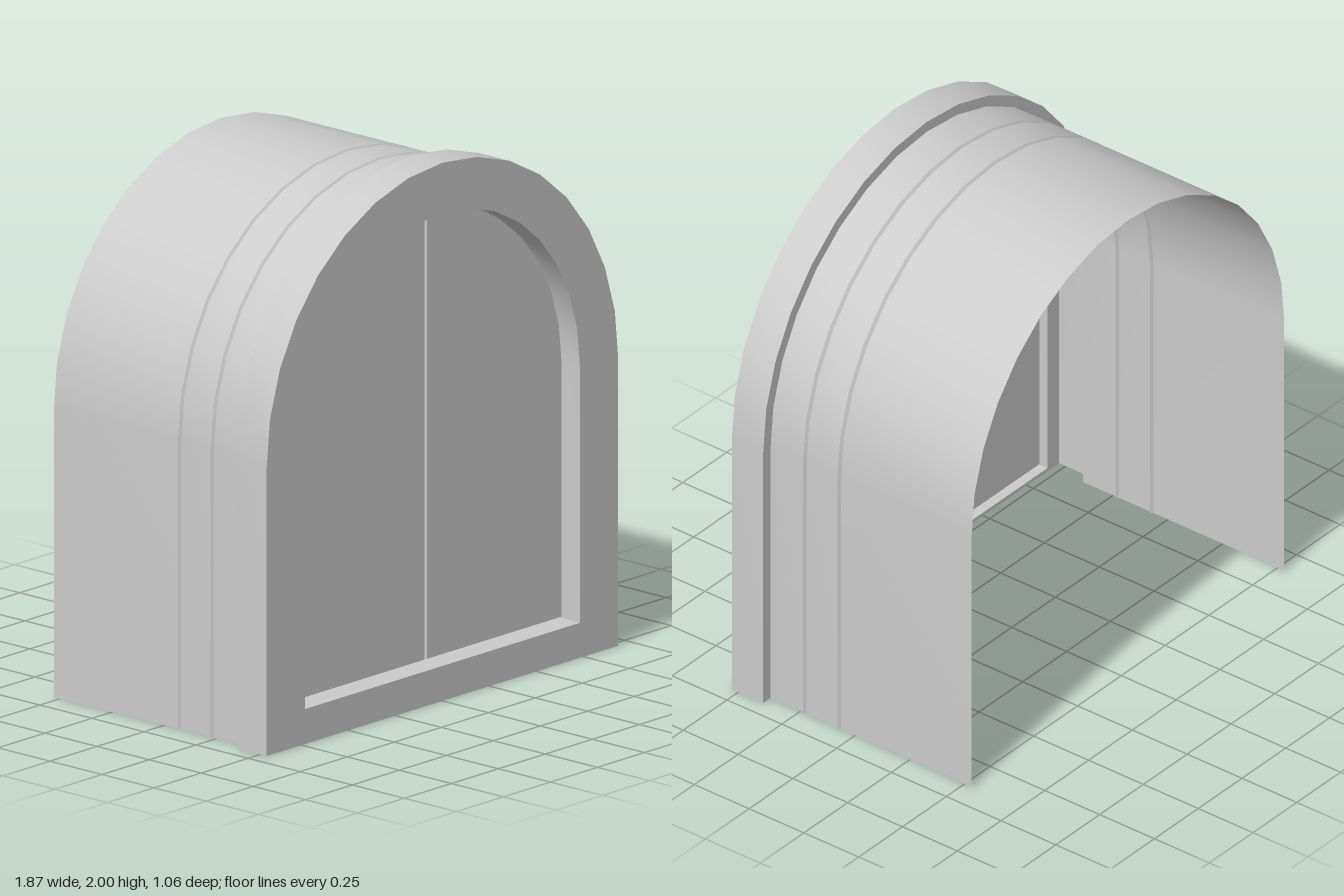
import * as THREE from 'three';

const material = new THREE.MeshStandardMaterial({ color: 0xcccccc, side: THREE.DoubleSide });
const STEPS = 16; // facets over each half-circle

// Arch outline from the right foot, over the top, to the left foot: [x, y]
function arch(radius, centreY, footY) {
  const points = [[radius, footY]];
  for (let i = 0; i <= STEPS; i++) {
    const a = (i / STEPS) * Math.PI;
    points.push([radius * Math.cos(a), centreY + radius * Math.sin(a)]);
  }
  points.push([-radius, footY]);
  return points;
}

// Smooth band joining outline a (at depth za) to outline b (at depth zb)
function band(a, za, b, zb) {
  const position = [], index = [];
  a.forEach((p, i) => {
    position.push(p[0], p[1], za, b[i][0], b[i][1], zb);
    if (i > 0) {
      const k = 2 * i;
      index.push(k - 2, k, k - 1, k, k + 1, k - 1);
    }
  });
  const geometry = new THREE.BufferGeometry();
  geometry.setAttribute('position', new THREE.Float32BufferAttribute(position, 3));
  geometry.setIndex(index);
  geometry.computeVertexNormals();
  return geometry;
}

const toShape = (points) => new THREE.Shape(points.map(([x, y]) => new THREE.Vector2(x, y)));

export function createModel() {
  const model = new THREE.Group();
  model.name = 'archedTunnelEntrance';

  const add = (parent, name, geometry, z = 0) => {
    const mesh = new THREE.Mesh(geometry, material);
    mesh.name = name;
    mesh.position.z = z;
    parent.add(mesh);
  };
  const group = (name) => {
    const g = new THREE.Group();
    g.name = name;
    model.add(g);
    return g;
  };
  // Sweep an arch through a [radius, z] profile, with a crease at each profile point
  const sweep = (parent, name, profile, centreY) => {
    for (let i = 1; i < profile.length; i++) {
      const [r0, z0] = profile[i - 1], [r1, z1] = profile[i];
      add(parent, name, band(arch(r0, centreY, 0), z0, arch(r1, centreY, 0), z1));
    }
  };

  const frontZ = 0.53, lipZ = 0.387, backZ = -0.53;
  const frameR = 0.935, tunnelR = 0.893, outerY = 1.065;
  const openR = 0.731, openY = 1.083, sillY = 0.13;
  const revealZ = 0.42, doorZ = 0.45;

  // Tunnel shell with two V grooves
  const tunnelProfile = [[tunnelR, lipZ]];
  for (const z of [0.231, 0.074]) {
    tunnelProfile.push([tunnelR, z + 0.008], [tunnelR - 0.01, z], [tunnelR, z - 0.008]);
  }
  tunnelProfile.push([tunnelR, backZ]);
  sweep(group('tunnel'), 'tunnelShell', tunnelProfile, outerY);

  // Front frame: outer rim, face with arched opening, reveal and sill
  const frame = group('frontFrame');
  sweep(frame, 'frameRim', [[frameR, frontZ], [frameR, lipZ], [tunnelR, lipZ]], outerY);
  const opening = arch(openR, openY, sillY);
  const face = toShape(arch(frameR, outerY, 0));
  face.holes.push(toShape(opening));
  add(frame, 'frameFace', new THREE.ShapeGeometry(face), frontZ);
  add(frame, 'openingReveal', band(opening, revealZ, opening, frontZ));
  const sill = [[-openR, sillY], [openR, sillY]];
  add(frame, 'sill', band(sill, revealZ, sill, frontZ));

  // Two door leaves meeting in a V groove, with a narrow gap all round
  const doors = group('doors');
  const gap = 0.009, half = 0.006;
  const doorR = openR - gap, bottom = sillY + gap, top = openY + doorR;
  for (const side of [1, -1]) {
    const leaf = arch(doorR, openY, bottom).slice(0, STEPS / 2 + 1);
    leaf.push([half, top], [half, bottom]);
    add(doors, 'doorLeaf', new THREE.ShapeGeometry(toShape(leaf.map(([x, y]) => [side * x, y]))), doorZ);
    const edge = [[side * half, bottom], [side * half, top]];
    const centre = [[0, bottom], [0, top]];
    add(doors, 'doorGroove', side > 0
      ? band(edge, doorZ, centre, doorZ - 0.012)
      : band(centre, doorZ - 0.012, edge, doorZ));
  }

  return model;
}
